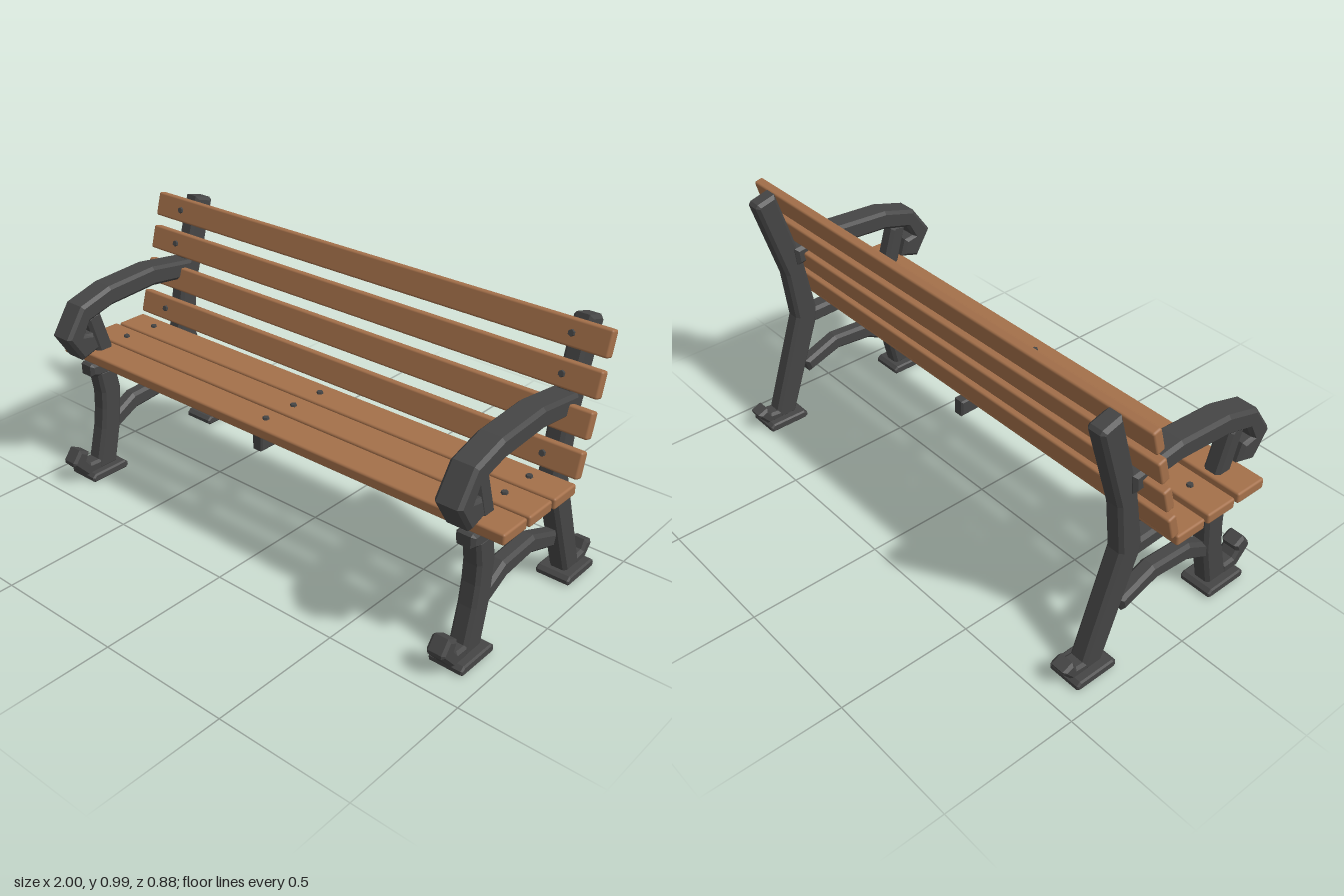
import * as THREE from 'three';
import { RoundedBoxGeometry } from 'three/addons/geometries/RoundedBoxGeometry.js';

const wood = new THREE.MeshStandardMaterial({ color: 0xa4704a });
wood.name = 'wood';
const iron = new THREE.MeshStandardMaterial({ color: 0x454545 });
iron.name = 'cast iron';

const FRAME_X = 0.867;
const LEAN = -0.275; // tilt of the backrest

// Chamfered bar cut from a side profile of [z, y] points, centred on x = 0
function profileBar(name, points, width, bevel = 0.012) {
  const shape = new THREE.Shape(points.map(([z, y]) => new THREE.Vector2(z, y)));
  const depth = width - 2 * bevel;
  const geometry = new THREE.ExtrudeGeometry(shape, {
    depth, bevelEnabled: true, bevelSegments: 1,
    bevelSize: bevel, bevelThickness: bevel, bevelOffset: -bevel,
  });
  geometry.translate(0, 0, -depth / 2);
  geometry.rotateY(-Math.PI / 2);
  const mesh = new THREE.Mesh(geometry, iron);
  mesh.name = name;
  return mesh;
}

function footPlate(name, z0, z1) {
  return profileBar(name, [
    [z0, 0.008], [z0 + 0.01, 0], [z1 - 0.01, 0], [z1, 0.008],
    [z1, 0.022], [z1 - 0.014, 0.034], [z0 + 0.014, 0.034], [z0, 0.022],
  ], 0.13, 0.006);
}

// One cast iron end frame
function sideFrame() {
  const frame = new THREE.Group();
  frame.add(
    profileBar('backPostAndLeg', [
      [-0.26, 0.99], [-0.333, 0.97], [-0.342, 0.957], [-0.245, 0.642], [-0.222, 0.446],
      [-0.355, 0.05], [-0.345, 0.025], [-0.272, 0.025], [-0.135, 0.406], [-0.127, 0.453],
      [-0.167, 0.676],
    ], 0.07),
    profileBar('seatRail', [
      [0.323, 0.468], [0.313, 0.475], [-0.15, 0.462], [-0.16, 0.4],
      [0.292, 0.417], [0.323, 0.427],
    ], 0.072),
    profileBar('frontLeg', [
      [0.292, 0.435], [0.277, 0.34], [0.28, 0.27], [0.292, 0.19], [0.33, 0.04], [0.325, 0.025],
      [0.237, 0.025], [0.2, 0.19], [0.187, 0.34], [0.205, 0.435],
    ], 0.07),
    profileBar('frontScroll', [
      [0.444, 0.1], [0.41, 0.144], [0.366, 0.12], [0.38, 0.092], [0.363, 0.07],
      [0.31, 0.068], [0.31, 0.024], [0.387, 0.024], [0.444, 0.087],
    ], 0.07, 0.01),
    profileBar('backScroll', [
      [-0.439, 0.08], [-0.397, 0.097], [-0.38, 0.065], [-0.33, 0.06],
      [-0.33, 0.025], [-0.4, 0.025], [-0.434, 0.065],
    ], 0.07, 0.01),
    profileBar('legStretcher', [
      [0.22, 0.225], [0.122, 0.278], [-0.05, 0.288], [-0.198, 0.23],
      [-0.182, 0.176], [-0.035, 0.225], [0.109, 0.212], [0.22, 0.16],
    ], 0.06),
    profileBar('armrest', [
      [-0.208, 0.75], [-0.004, 0.778], [0.214, 0.765], [0.35, 0.726], [0.426, 0.616],
      [0.363, 0.516], [0.284, 0.54], [0.305, 0.607], [0.345, 0.613], [0.318, 0.66],
      [0.206, 0.69], [-0.004, 0.703], [-0.2, 0.68],
    ], 0.1),
    profileBar('armSupport', [
      [0.318, 0.658], [0.305, 0.672], [0.265, 0.678], [0.252, 0.665], [0.208, 0.52],
      [0.208, 0.46], [0.272, 0.46], [0.275, 0.51],
    ], 0.065),
    footPlate('frontFootPlate', 0.208, 0.384),
    footPlate('backFootPlate', -0.408, -0.237),
  );
  return frame;
}

// Slat with bolt heads; its wide face looks along local +y
function slat(name, width, thickness, boltXs) {
  const group = new THREE.Group();
  group.name = name;
  const board = new THREE.Mesh(new RoundedBoxGeometry(2, thickness, width, 2, 0.008), wood);
  board.name = 'board';
  group.add(board);
  for (const x of boltXs) {
    const bolt = new THREE.Mesh(new THREE.CylinderGeometry(0.011, 0.014, 0.016, 6).toNonIndexed(), iron);
    bolt.geometry.computeVertexNormals();
    bolt.name = 'bolt';
    bolt.position.set(x, thickness / 2, 0);
    group.add(bolt);
  }
  return group;
}

export function createModel() {
  const bench = new THREE.Group();
  bench.name = 'parkBench';

  for (const side of [1, -1]) {
    const frame = sideFrame();
    frame.name = side > 0 ? 'leftFrame' : 'rightFrame';
    frame.position.x = side * FRAME_X;
    bench.add(frame);
  }

  // Seat slats
  [[0.253, 0.499], [0.114, 0.494], [-0.025, 0.489]].forEach(([z, y]) => {
    const s = slat('seatSlat', 0.124, 0.04, [-FRAME_X, 0, FRAME_X]);
    s.position.set(0, y, z);
    bench.add(s);
  });

  // Backrest slats climb along the leaning posts
  for (let i = 0; i < 4; i++) {
    const s = slat('backSlat', 0.091, 0.036, [-FRAME_X, FRAME_X]);
    s.position.set(0, 0.561 + i * 0.1257, -0.111 - i * 0.036);
    s.rotation.x = Math.PI / 2 + LEAN;
    bench.add(s);
  }

  // Middle bar under the seat
  bench.add(profileBar('seatBrace', [
    [0.3, 0.48], [-0.11, 0.47], [-0.11, 0.408], [0.3, 0.418],
  ], 0.046, 0.006));

  return bench;
}
